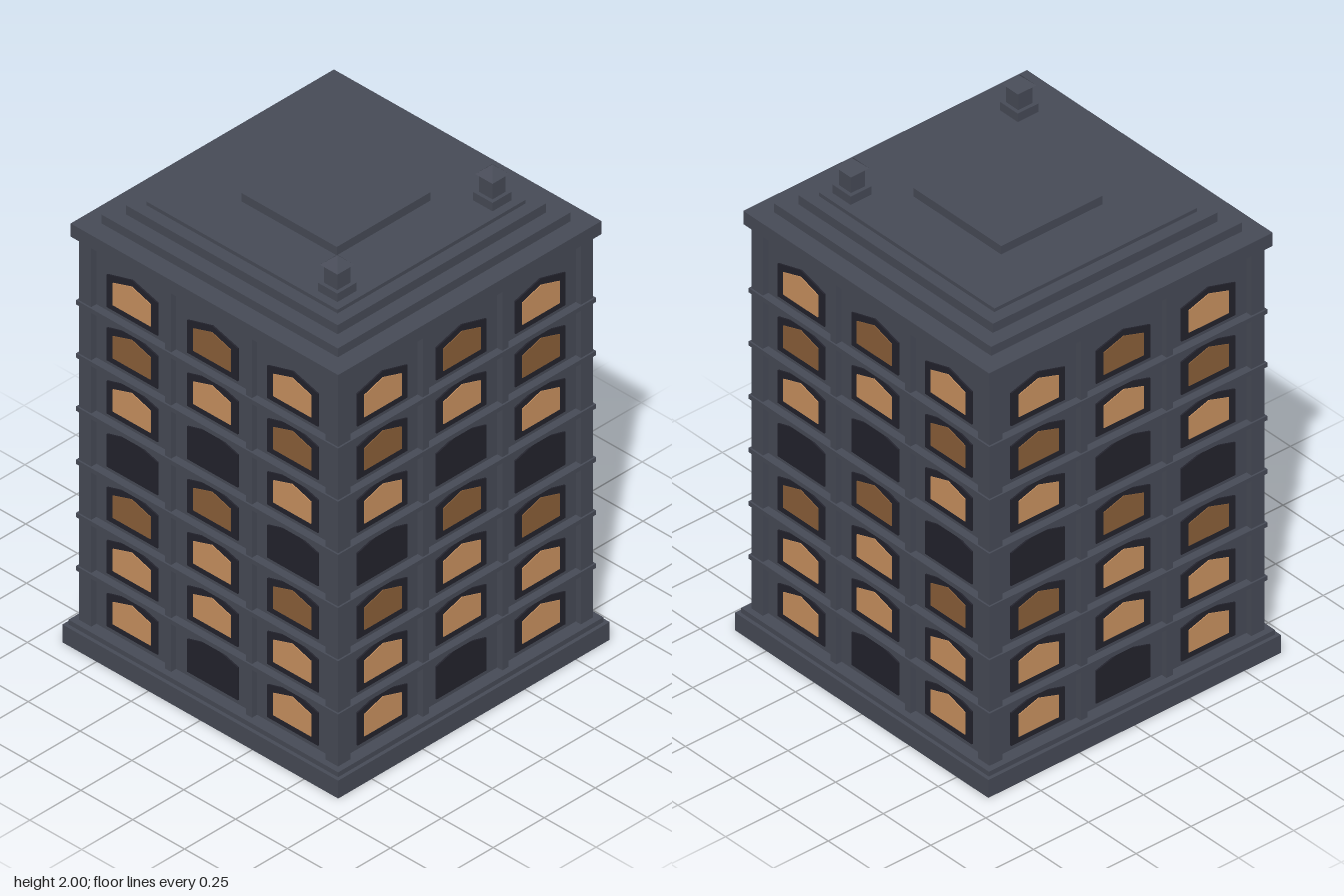
import * as THREE from 'three';

const mat = (name, color) => {
  const m = new THREE.MeshStandardMaterial({ color });
  m.name = name;
  return m;
};

export function createModel() {
  const stone = mat('slate stone', 0x474b57);
  const dark = mat('dark frame', 0x23232d);
  const lit = mat('lit window', 0xcc9360);
  const dim = mat('dim window', 0x8c6039);

  const model = new THREE.Group();
  model.name = 'towerBlock';

  const add = (parent, name, geometry, material, x = 0, y = 0, z = 0) => {
    const mesh = new THREE.Mesh(geometry, material);
    mesh.name = name;
    mesh.position.set(x, y, z);
    parent.add(mesh);
    return mesh;
  };
  // square block given by half width and bottom / top heights
  const block = (parent, name, half, y0, y1, x = 0, z = 0) =>
    add(parent, name, new THREE.BoxGeometry(half * 2, y1 - y0, half * 2), stone, x, (y0 + y1) / 2, z);

  // stacked body, from plinth to roof
  block(model, 'plinth', 0.665, 0, 0.075);
  block(model, 'plinthStep', 0.65, 0.075, 0.095);
  block(model, 'wallCore', 0.6, 0.095, 1.705);
  block(model, 'cornice', 0.645, 1.705, 1.76);
  block(model, 'roofStepLower', 0.57, 1.76, 1.797);
  block(model, 'roofStepMiddle', 0.51, 1.797, 1.835);
  block(model, 'roofStepUpper', 0.46, 1.835, 1.85);
  block(model, 'roofSlab', 0.23, 1.85, 1.885);

  // bands between floors
  const pitch = 0.2235;
  for (let i = 1; i < 7; i++) {
    const y = 0.088 + pitch * i;
    block(model, 'floorBand', 0.632, y - 0.009, y + 0.009);
  }

  // corner pillars
  for (const x of [-1, 1]) for (const z of [-1, 1]) {
    add(model, 'cornerPillar', new THREE.BoxGeometry(0.06, 1.61, 0.06), stone, x * 0.595, 0.9, z * 0.595);
  }

  // thin plate with a low gabled top, standing on y = 0
  const gable = (w, shoulder, peak) => new THREE.ExtrudeGeometry(new THREE.Shape([
    new THREE.Vector2(-w / 2, 0), new THREE.Vector2(w / 2, 0),
    new THREE.Vector2(w / 2, shoulder), new THREE.Vector2(0, peak),
    new THREE.Vector2(-w / 2, shoulder),
  ]), { depth: 0.006, bevelEnabled: false });
  const frameGeo = gable(0.245, 0.137, 0.172);
  const paneGeo = gable(0.182, 0.093, 0.122);

  // window states per floor, ground floor first: L lit, D dim, N none
  const floors = ['LNL', 'LLL', 'DLD', 'NDN', 'LNL', 'DLD', 'LDL'];
  const glow = { L: lit, D: dim };

  for (let side = 0; side < 4; side++) {
    const facade = new THREE.Group();
    facade.name = 'facade';
    facade.rotation.y = side * Math.PI / 2;
    for (const x of [-0.195, 0.195]) {
      add(facade, 'pilaster', new THREE.BoxGeometry(0.03, 1.61, 0.03), stone, x, 0.9, 0.61);
    }
    floors.forEach((row, f) => {
      const y = 0.115 + pitch * f;
      [...row].forEach((state, c) => {
        const x = (c - 1) * 0.387;
        add(facade, 'windowFrame', frameGeo, dark, x, y, 0.6);
        if (glow[state]) add(facade, 'windowPane', paneGeo, glow[state], x, y + 0.025, 0.603);
      });
    });
    model.add(facade);
  }

  // two small chimneys near the front corners of the roof
  for (const x of [-0.38, 0.38]) {
    const chimney = new THREE.Group();
    chimney.name = 'chimney';
    block(chimney, 'chimneyBase', 0.047, 1.85, 1.885, x, 0.38);
    block(chimney, 'chimneyShaft', 0.032, 1.885, 1.96, x, 0.38);
    const cap = new THREE.ConeGeometry(0.042 * Math.SQRT2, 0.04, 4).toNonIndexed();
    cap.rotateY(Math.PI / 4);
    cap.computeVertexNormals();
    add(chimney, 'chimneyCap', cap, stone, x, 1.98, 0.38);
    model.add(chimney);
  }

  return model;
}
